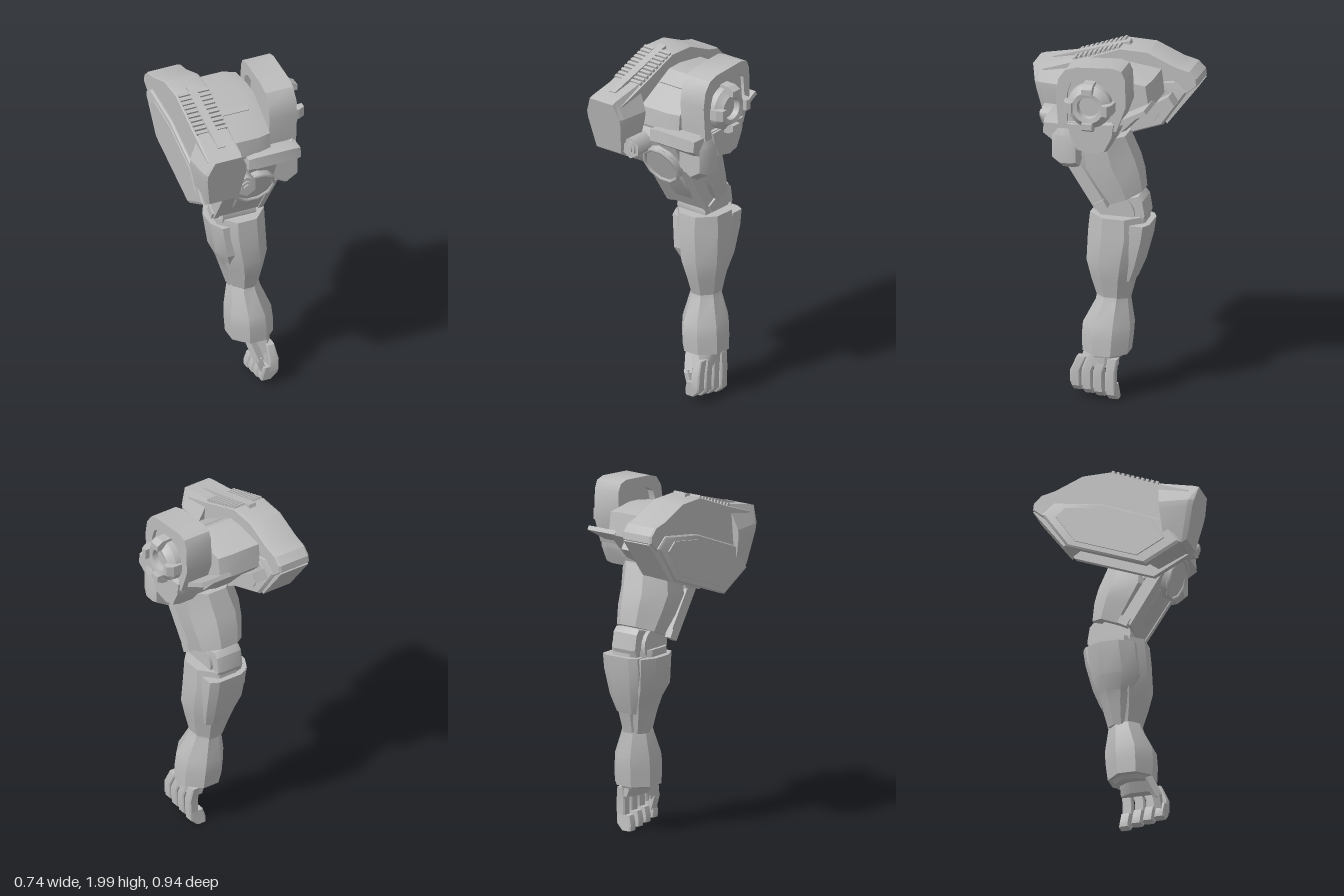
import * as THREE from 'three';
import { toCreasedNormals } from 'three/addons/utils/BufferGeometryUtils.js';

const metal = new THREE.MeshStandardMaterial({ color: 0xbcbcbc });
metal.name = 'grey metal';

// Skin a closed solid through rings of equal point count, capped at both ends
function loft(rings, crease = 0.45) {
  const tris = [], n = rings[0].length;
  const mid = (r) => [0, 1, 2].map((k) => r.reduce((s, p) => s + p[k], 0) / n);
  const first = mid(rings[0]), last = mid(rings[rings.length - 1]);
  for (let j = 0; j < n; j++) {
    const k = (j + 1) % n;
    for (let i = 0; i + 1 < rings.length; i++) {
      const a = rings[i], b = rings[i + 1];
      tris.push([a[j], a[k], b[k]], [a[j], b[k], b[j]]);
    }
    tris.push([first, rings[0][k], rings[0][j]]);
    tris.push([last, rings[rings.length - 1][j], rings[rings.length - 1][k]]);
  }
  // Turn the faces outward whichever way the rings were drawn
  const v = (p) => new THREE.Vector3(...p);
  const c = v(first);
  const volume = tris.reduce((s, [p, q, r]) =>
    s + v(p).sub(c).dot(v(q).sub(c).cross(v(r).sub(c))), 0);
  const flat = tris.flatMap((t) => (volume < 0 ? [t[0], t[2], t[1]] : t)).flat();
  const g = new THREE.BufferGeometry();
  g.setAttribute('position', new THREE.Float32BufferAttribute(flat, 3));
  return toCreasedNormals(g, crease);
}

// Side outline [z, y] carried across x; each level is [x, scale]
function slab(outline, levels) {
  const cz = outline.reduce((s, p) => s + p[0], 0) / outline.length;
  const cy = outline.reduce((s, p) => s + p[1], 0) / outline.length;
  return loft(levels.map(([x, s]) =>
    outline.map(([z, y]) => [x, cy + (y - cy) * s, cz + (z - cz) * s])));
}

// Chamfered horizontal section; tilt makes y fall toward the front
function ring(y, x0, x1, z0, z1, tilt = 0, cut = 0.3) {
  const cx = (x0 + x1) / 2, cz = (z0 + z1) / 2, hx = (x1 - x0) / 2, hz = (z1 - z0) / 2, k = 1 - cut * 2;
  return [[1, k], [k, 1], [-k, 1], [-1, k], [-1, -k], [-k, -1], [k, -1], [1, -k]]
    .map(([a, b]) => [cx + a * hx, y - tilt * b * hz, cz + b * hz]);
}

export function createModel() {
  const model = new THREE.Group();
  model.name = 'armouredArm';
  function add(name, geometry, parent = model) {
    const m = new THREE.Mesh(geometry, metal);
    m.name = name;
    parent.add(m);
    return m;
  }
  function group(name) {
    const g = new THREE.Group();
    g.name = name;
    model.add(g);
    return g;
  }
  function box(name, size, at, parent = model, rx = 0) {
    const m = add(name, new THREE.BoxGeometry(...size), parent);
    m.position.set(...at);
    m.rotation.x = rx;
    return m;
  }
  // Box running between two points
  function beam(name, a, b, w, h, parent = model) {
    const p = new THREE.Vector3(...a), q = new THREE.Vector3(...b);
    const m = add(name, new THREE.BoxGeometry(w, h, p.distanceTo(q)), parent);
    m.position.copy(p).add(q).multiplyScalar(0.5);
    m.lookAt(q);
    return m;
  }
  const disc = (r, len, sides) => new THREE.CylinderGeometry(r, r, len, sides);

  // Shoulder pod
  const pod = group('shoulderPod');
  add('podBody', slab([[-0.475, 1.78], [-0.47, 1.82], [-0.43, 1.86], [-0.35, 1.88], [-0.19, 1.95], [-0.03, 1.955],
    [0.24, 1.85], [0.42, 1.79], [0.37, 1.51], [0.17, 1.48], [-0.28, 1.61]],
  [[-0.33, 0.98], [-0.32, 1], [-0.145, 1], [-0.13, 0.98]]), pod);
  const hood = (z, top, low, lean, s) => [[0.08, top], [0.14 * s, 1.72], [0.14 * s, 1.68], [0.105 * s, low],
    [-0.105 * s, low], [-0.14 * s, 1.68], [-0.14 * s, 1.72], [-0.08, top]]
    .map(([x, y]) => [-0.23 + x, y, z - lean * (top - y)]);
  add('podHood', loft([hood(0.24, 1.86, 1.49, -0.1, 1), hood(0.44, 1.82, 1.48, 0.2, 0.9),
    hood(0.47, 1.81, 1.5, 0.22, 0.82)], 0.2), pod);
  const skirt = [[0.37, 1.48], [0.17, 1.37], [-0.28, 1.535], [-0.42, 1.74], [-0.35, 1.8], [-0.08, 1.76], [0.28, 1.62]];
  for (const [x, dir] of [[-0.325, -1], [-0.145, 1]]) {
    add('podSidePlate', slab(skirt, [[x - 0.02 * dir, 1], [x + 0.012 * dir, 1], [x + 0.02 * dir, 0.95]]), pod);
    add('podSidePanel', slab(skirt, [[x, 0.8], [x + 0.026 * dir, 0.78]]), pod);
  }
  add('podTail', slab([[-0.475, 1.77], [-0.42, 1.8], [-0.24, 1.58], [-0.3, 1.54]], [[-0.32, 1], [-0.14, 1]]), pod);
  add('podFoot', slab([[0.37, 1.49], [0.2, 1.41], [0.13, 1.46], [0.3, 1.53]], [[-0.32, 1], [-0.14, 1]]), pod);
  // Sloping grille beside a central spine
  for (let i = 0; i < 10; i++) {
    const t = i / 9, z = -0.02 + 0.25 * t, y = 1.95 - 0.092 * t;
    for (const x of [-0.287, -0.173]) box('grilleSlat', [0.068, 0.026, 0.017], [x, y, z], pod, 0.37);
  }
  beam('grilleSpine', [-0.23, 1.96, -0.07], [-0.23, 1.825, 0.37], 0.045, 0.03, pod);

  // Block between pod and shoulder
  const body = group('shoulderBlock');
  add('blockCore', slab([[0.25, 1.64], [0.24, 1.74], [0.0, 1.88], [-0.09, 1.885], [-0.27, 1.86], [-0.29, 1.73],
    [-0.12, 1.55], [0.18, 1.47]], [[-0.14, 1], [0.05, 1], [0.125, 0.92]]), body);
  box('blockSeam', [0.18, 0.03, 0.035], [-0.035, 1.83, 0.07], body, 0.53);
  beam('rearPlate', [0.16, 1.745, -0.285], [0.16, 1.64, -0.09], 0.19, 0.025, body);
  beam('rearRail', [-0.085, 1.71, -0.35], [-0.085, 1.54, -0.08], 0.09, 0.06, body);

  // Arched shoulder guard with recessed centre
  const guard = group('shoulderGuard');
  const arch = [[0.2, 1.62], [0.215, 1.82], [0.2, 1.91], [0.16, 1.965], [0.1, 1.985], [-0.11, 2.0], [-0.16, 1.985],
    [-0.18, 1.94], [-0.185, 1.78], [-0.13, 1.63]];
  const inner = [[0.15, 1.66], [0.15, 1.83], [0.13, 1.89], [0.08, 1.92], [-0.09, 1.93], [-0.13, 1.9],
    [-0.14, 1.78], [-0.1, 1.66]];
  const pts = (l) => l.map((p) => new THREE.Vector2(...p));
  const shape = new THREE.Shape(pts(arch));
  shape.holes.push(new THREE.Path(pts(inner)));
  const frame = new THREE.ExtrudeGeometry(shape, { depth: 0.165, bevelEnabled: false });
  frame.rotateY(-Math.PI / 2).translate(0.29, 0, 0);
  add('guardArch', toCreasedNormals(frame, 0.5), guard);
  add('guardPanel', slab(inner, [[0.165, 1.03], [0.27, 1.03]]), guard);
  add('guardCollar', slab([[0.16, 1.66], [0.14, 1.58], [0.1, 1.5], [0.0, 1.48], [-0.07, 1.5], [-0.12, 1.6], [-0.13, 1.68]],
    [[0.08, 1], [0.26, 1], [0.3, 0.9]]), guard);

  // Round hub with four lugs
  const hub = group('shoulderHub');
  const profile = [[0, 0.01], [0.058, 0.01], [0.062, 0.045], [0.088, 0.05], [0.1, 0.035], [0.125, 0.015], [0.13, -0.05]];
  const hubRing = add('hubRing', toCreasedNormals(
    new THREE.LatheGeometry(pts(profile).reverse(), 32).toNonIndexed(), 0.5), hub);
  hubRing.rotation.z = -Math.PI / 2;
  for (let i = 0; i < 4; i++) {
    const lug = add('hubLug', loft([[0.27, 0.09, 0.14], [0.33, 0.085, 0.138], [0.365, 0.085, 0.118]].map(([x, r0, r1]) =>
      [[x - 0.29, r0, -0.03], [x - 0.29, r1, -0.03], [x - 0.29, r1, 0.03], [x - 0.29, r0, 0.03]])), hub);
    lug.rotation.x = i * Math.PI / 2;
  }
  hub.position.set(0.29, 1.77, 0.02);

  // Front armour around the top of the arm
  const front = group('frontArmour');
  const hull = [[0.07, 1.57], [0.14, 1.635], [0.27, 1.66], [0.3, 1.58], [0.3, 1.42], [0.22, 1.37], [0.13, 1.42]];
  add('frontHull', loft([[0.1, 0.95], [0.13, 1], [0.19, 1], [0.24, 0.8]].map(([z, s]) =>
    hull.map(([x, y]) => [0.2 + (x - 0.2) * s, 1.54 + (y - 1.54) * s, z]))), front);
  add('frontLedge', slab([[0.19, 1.65], [0.295, 1.65], [0.3, 1.58], [0.23, 1.53], [0.19, 1.54]],
    [[-0.03, 0.85], [0.02, 1], [0.24, 1], [0.28, 0.85]]), front);
  add('frontBrace', slab([[0.25, 1.63], [0.28, 1.57], [0.22, 1.43], [0.1, 1.38], [0.05, 1.55]], [[-0.13, 1], [0.14, 1]]), front);
  const plate = add('roundPlate', disc(0.122, 0.08, 10), front);
  plate.position.set(0.02, 1.44, 0.215);
  plate.rotation.x = Math.PI / 2 + 0.4;
  const rim = add('roundPlateRim', new THREE.TorusGeometry(0.115, 0.012, 6, 10), front);
  rim.position.set(0.02, 1.425, 0.252);
  rim.rotation.x = 0.4;
  const nut = group('hexNozzle');
  for (const [r, z, l] of [[0.062, 0.32, 0.14], [0.042, 0.385, 0.03], [0.025, 0.395, 0.03]]) {
    const m = add('nozzleStep', disc(r, l, 6), nut);
    m.position.set(-0.088, 1.545, z);
    m.rotation.x = Math.PI / 2;
  }

  // Upper arm leaning back toward the elbow
  const upper = group('upperArm');
  add('upperArmShell', loft([ring(1.53, -0.1, 0.2, -0.13, 0.17, 0.05), ring(1.37, -0.135, 0.19, -0.18, 0.18, 0.15),
    ring(1.27, -0.125, 0.18, -0.205, 0.1, 0.3), ring(1.165, -0.1, 0.16, -0.22, 0.01, 0.4)]), upper);
  beam('bicepPlate', [0.025, 1.42, 0.185], [0.025, 1.13, 0.0], 0.28, 0.05, upper);
  for (const x of [-0.115, 0.16]) {
    beam('bicepEdge', [x, 1.43, 0.185], [x * 0.95, 1.13, -0.005], 0.03, 0.07, upper);
    box('elbowBolt', [0.04, 0.05, 0.06], [x, 1.14, -0.01], upper, 0.5);
  }

  // Elbow joint
  const elbow = group('elbow');
  const pin = add('elbowDrum', toCreasedNormals(disc(0.1, 0.2, 20).toNonIndexed(), 0.5), elbow);
  pin.rotation.z = Math.PI / 2;
  pin.position.set(0.035, 1.09, -0.09);
  add('elbowGuard', slab([[-0.01, 1.05], [-0.1, 1.17], [-0.21, 1.2], [-0.235, 1.17], [-0.25, 1.08], [-0.22, 1.0]],
    [[-0.04, 0.92], [-0.02, 1], [0.1, 1], [0.12, 0.92]]), elbow);

  // Forearm in two stages
  const fore = group('forearm');
  add('forearmShell', loft([ring(1.075, -0.085, 0.195, -0.24, 0.07), ring(0.97, -0.085, 0.2, -0.25, 0.08),
    ring(0.8, -0.05, 0.205, -0.215, 0.085), ring(0.7, -0.015, 0.185, -0.18, 0.06), ring(0.58, 0.01, 0.16, -0.15, 0.025)]), fore);
  add('wristGuard', loft([ring(0.62, 0.015, 0.16, -0.15, 0.025), ring(0.57, 0.0, 0.17, -0.15, 0.035),
    ring(0.44, -0.02, 0.22, -0.17, 0.1), ring(0.36, -0.02, 0.228, -0.165, 0.105),
    ring(0.275, -0.015, 0.23, -0.155, 0.1)]), fore);
  add('outerForearmPlate', loft([ring(1.035, -0.118, 0.02, -0.235, 0.035), ring(0.85, -0.095, 0.04, -0.215, 0.05),
    ring(0.765, -0.055, 0.05, -0.19, 0.01), ring(0.7, -0.035, 0.06, -0.17, -0.01), ring(0.58, 0.0, 0.08, -0.14, -0.03)]), fore);
  add('rearForearmPlate', loft([ring(1.04, -0.06, 0.18, -0.275, -0.15, 0, 0.2), ring(0.95, -0.06, 0.18, -0.262, -0.14, 0, 0.2),
    ring(0.8, -0.03, 0.17, -0.225, -0.1, 0, 0.2), ring(0.7, 0, 0.15, -0.185, -0.08, 0, 0.2)]), fore);
  add('cuff', loft([ring(0.29, 0.0, 0.21, -0.14, 0.09), ring(0.255, 0.03, 0.2, -0.12, 0.08)]), fore);

  // Half-closed hand
  const hand = group('hand');
  add('palm', loft([ring(0.28, 0.06, 0.2, -0.1, 0.09), ring(0.2, 0.1, 0.2, -0.1, 0.12)]), hand);
  [[0.095, 0.13, 0.05], [0.035, 0.065, 0.035], [-0.025, 0.0, 0.025], [-0.08, -0.07, 0.012]].forEach(([z0, z1, low]) => {
    const section = (y, x0, x1, z) => ring(y, x0, x1, z - 0.028, z + 0.028, 0, 0.12);
    add('finger', loft([section(0.25, 0.15, 0.195, z0), section(0.17, 0.15, 0.208, z1),
      section(low + 0.05, 0.15, 0.206, z1)]), hand);
    add('fingertip', loft([section(low + 0.08, 0.12, 0.205, z1), section(low + 0.03, 0.105, 0.203, z1 - 0.004),
      section(low - 0.005, 0.105, 0.165, z1 - 0.008)]), hand);
  });
  beam('thumb', [0.075, 0.27, 0.07], [0.105, 0.16, 0.12], 0.045, 0.04, hand);
  beam('thumbTip', [0.1, 0.18, 0.115], [0.13, 0.09, 0.12], 0.04, 0.035, hand);
  return model;
}
